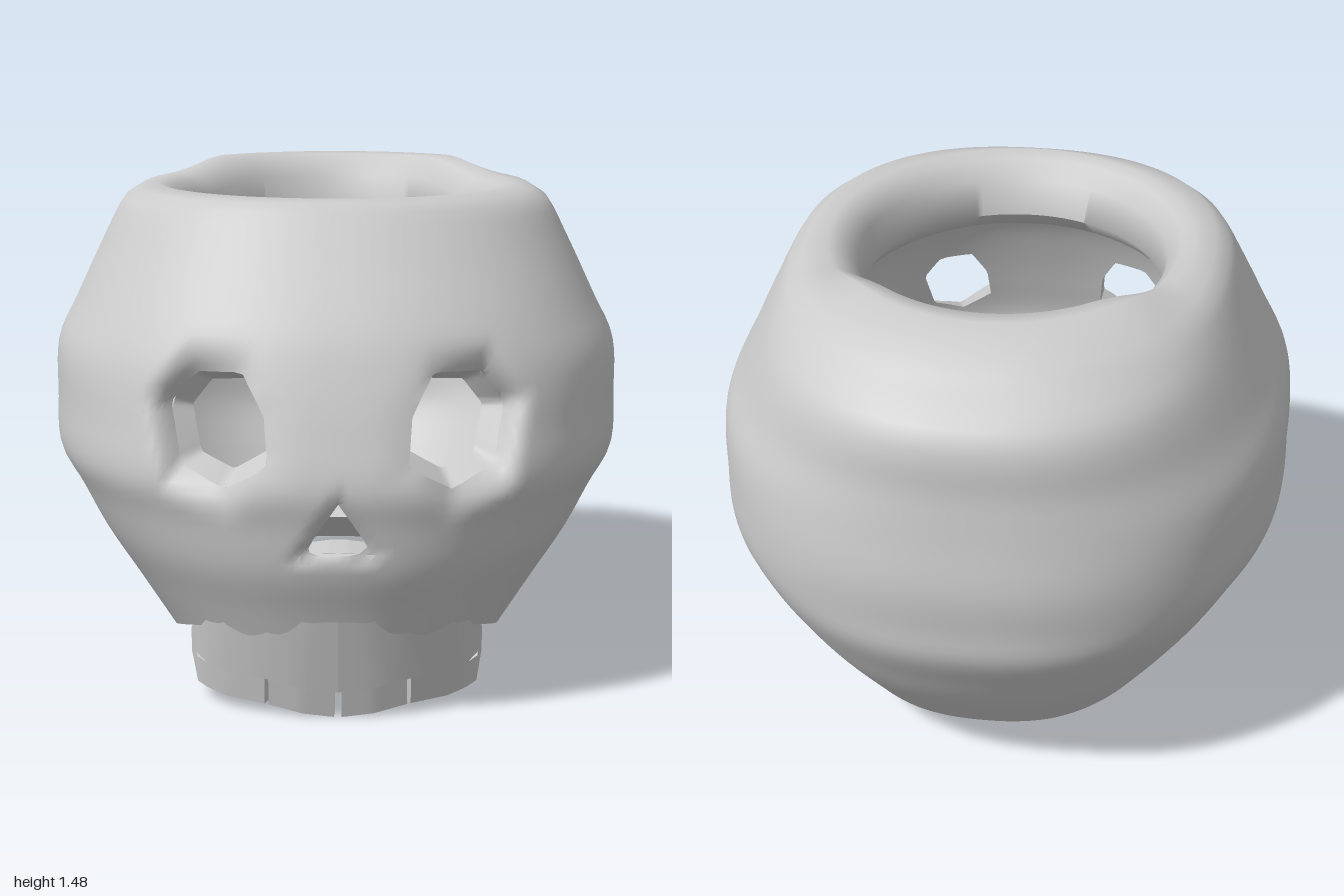
import * as THREE from 'three';
import { toCreasedNormals } from 'three/addons/utils/BufferGeometryUtils.js';

const material = new THREE.MeshStandardMaterial({ color: 0xcccccc });
const POWER = 2.35, WALL = 0.13, SEGMENTS = 240, ROWS = 46;

// Interpolates rows [key, value, value...], straight or as a smooth curve
function lookup(table, key, smooth = false) {
  const last = table.length - 1;
  if (key <= table[0][0]) return table[0].slice(1);
  if (key >= table[last][0]) return table[last].slice(1);
  const i = table.findIndex((row) => key <= row[0]);
  const a = table[i - 1], b = table[i], span = b[0] - a[0], t = (key - a[0]) / span;
  if (!smooth) return a.slice(1).map((v, k) => v + (b[k + 1] - v) * t);
  const before = table[Math.max(i - 2, 0)], after = table[Math.min(i + 1, last)];
  return a.slice(1).map((v, n) => {
    const k = n + 1, d = b[k] - v;
    const m0 = (b[k] - before[k]) / (b[0] - before[0]) * span;
    const m1 = (after[k] - v) / (after[0] - a[0]) * span;
    return v + t * (m0 + t * (3 * d - 2 * m0 - m1 + t * (m0 + m1 - 2 * d)));
  });
}

// Head outline by height: y, half width, front z, back z
const SECTIONS = [
  [0.13, 0.51, 0.84, -0.68], [0.32, 0.635, 0.91, -0.83], [0.45, 0.72, 0.96, -0.91],
  [0.58, 0.79, 0.98, -0.98], [0.68, 0.845, 0.995, -0.99], [0.82, 0.85, 0.96, -1.0],
  [0.98, 0.845, 0.905, -0.98], [1.1, 0.79, 0.85, -0.965], [1.29, 0.70, 0.72, -0.94],
  [1.4, 0.64, 0.64, -0.80], [1.425, 0.60, 0.62, -0.77],
];
const section = (y) => lookup(SECTIONS, y, true);
// Height of the lower edge by z
const RIM = [[-0.68, 0.13], [-0.08, 0.27], [0.02, 0.17], [0.37, 0.13], [0.7, 0.24], [0.9, 0.24]];
// Lip around the top opening: half width, front z, back z, front y, back y
const LIP = [
  [0.54, 0.59, -0.64, 1.435, 1.48], [0.5, 0.55, -0.58, 1.42, 1.475],
  [0.46, 0.49, -0.53, 1.37, 1.41], [0.445, 0.47, -0.51, 1.26, 1.28], [0.5, 0.55, -0.6, 1.19, 1.21],
];
// Thick lower edge turning in and up to the bottom opening: half width, front z, back z, rise
const FLOOR = [[0.4, 0.64, -0.58, 0.16], [0.36, 0.6, -0.52, 0.11]];

function ring([w, front, back], angle, power) {
  const s = Math.sin(angle), c = Math.cos(angle), depth = c > 0 ? front : -back;
  const r = (Math.abs(s / w) ** power + Math.abs(c / depth) ** power) ** (-1 / power);
  return [r * s, r * c];
}
function frontZ(x, y, inset) {
  const [w, front] = section(y);
  return (front - inset) * Math.max(0, 1 - Math.abs(x / (w - inset)) ** POWER) ** (1 / POWER);
}

// Face openings: centre, outline about it, dent depth, outer side, shift of the inner outline
const eye = [[-0.14, -0.09], [-0.13, 0.04], [-0.07, 0.15], [0.06, 0.14], [0.13, 0.05], [0.1, -0.11], [-0.02, -0.16]];
const nose = [[0, 0.1], [0.1, -0.05], [0.03, -0.04], [-0.03, -0.04], [-0.1, -0.05]];
const HOLES = [
  { name: 'leftEyeSocket', x: 0.33, y: 0.84, outline: eye, dent: 0.09, side: 1, shift: -0.03 },
  { name: 'rightEyeSocket', x: -0.33, y: 0.84, outline: eye.map(([x, y]) => [-x, y]).reverse(), dent: 0.09, side: -1, shift: 0.03 },
  { name: 'noseHole', x: 0, y: 0.55, outline: nose, dent: 0.04, side: 0, shift: 0 },
];
// Sockets sink on their outer side and stay level beside the nose
const dentAt = (hole, x) => hole.dent * THREE.MathUtils.clamp(0.5 + 4 * hole.side * (x - hole.x), 0.1, 1);

// Distance from the centre to the outline along a direction
function reach(outline, dx, dy) {
  const l = Math.hypot(dx, dy) || 1, ux = (dx || 1e-9) / l, uy = dy / l;
  let best = 0;
  outline.forEach(([ax, ay], i) => {
    const [bx, by] = outline[(i + 1) % outline.length], ex = bx - ax, ey = by - ay;
    const d = ux * ey - uy * ex;
    if (Math.abs(d) < 1e-9) return;
    const r = (ax * ey - ay * ex) / d, t = (ax * uy - ay * ux) / d;
    if (r > 0 && t >= -1e-6 && t <= 1 + 1e-6) best = Math.max(best, r);
  });
  return best;
}

// Push a face point out to the edge of an opening and sink the skin around it
function carve(p, inner) {
  if (p[2] < 0.2) return -1;
  for (let h = 0; h < HOLES.length; h++) {
    const hole = HOLES[h], scale = inner ? 0.78 : 1;
    const cx = hole.x + (inner ? hole.shift : 0);
    const dx = p[0] - cx, dy = p[1] - hole.y;
    const d = Math.hypot(dx, dy);
    if (d > 0.4) continue;
    const edge = reach(hole.outline, dx, dy) * scale, s = d / edge;
    if (s < 1) {
      const k = edge / Math.max(d, 1e-6);
      p[0] = cx + dx * k;
      p[1] = hole.y + dy * k;
      p[2] = frontZ(p[0], p[1], inner ? WALL : 0) - (inner ? 0 : dentAt(hole, p[0]));
      return h;
    }
    if (!inner && s < 1.7) p[2] -= dentAt(hole, p[0]) * ((1.7 - s) / 0.7) ** 2;
  }
  return -1;
}

function geometryFrom(points, index, crease) {
  const g = new THREE.BufferGeometry();
  g.setAttribute('position', new THREE.Float32BufferAttribute(points.flat(), 3));
  g.setIndex(index);
  return toCreasedNormals(g, crease);
}

// Hollow head: outer skin, lip, inner skin and floor as one closed loop swept around y
function headGeometry() {
  const points = [], flags = [], index = [];
  const count = ROWS * 2 + LIP.length + FLOOR.length;
  for (let i = 0; i < SEGMENTS; i++) {
    const angle = (i / SEGMENTS) * Math.PI * 2;
    const rim = lookup(RIM, ring(section(0.18), angle, POWER)[1])[0];
    const plain = (x, y, z) => {
      points.push([x, y, z]);
      flags.push(-1);
    };
    const skin = (y, inset) => {
      const [w, f, b] = section(y);
      const [x, z] = ring([w - inset, f - inset, b + inset], angle, POWER);
      const p = [x, y, z];
      flags.push(carve(p, inset > 0));
      points.push(p);
    };
    for (let k = 0; k < ROWS; k++) skin(rim + (1.425 - rim) * k / (ROWS - 1), 0);
    for (const [w, f, b, yf, yb] of LIP) {
      const [x, z] = ring([w, f, b], angle, 2);
      plain(x, THREE.MathUtils.lerp(yb, yf, THREE.MathUtils.smoothstep(z, -0.48, -0.25)), z);
    }
    for (let k = 0; k < ROWS; k++) skin(1.16 + (rim + 0.2 - 1.16) * k / (ROWS - 1), WALL);
    for (const [w, f, b, rise] of FLOOR) {
      const [x, z] = ring([w, f, b], angle, POWER);
      plain(x, rim + rise, z);
    }
  }
  const face = (a, b, c) => {
    if (flags[a] < 0 || flags[a] !== flags[b] || flags[b] !== flags[c]) index.push(a, b, c);
  };
  for (let i = 0; i < SEGMENTS; i++) for (let k = 0; k < count; k++) {
    const n = ((i + 1) % SEGMENTS) * count, m = i * count, up = (k + 1) % count;
    face(m + k, n + k, n + up);
    face(m + k, n + up, m + up);
  }
  return geometryFrom(points, index, 1.0);
}

// Wall of an opening, from the outer skin to the inner skin
function tunnelGeometry(hole) {
  const points = [], index = [], n = 64;
  for (let i = 0; i < n; i++) {
    const a = (i / n) * Math.PI * 2, c = Math.cos(a), s = Math.sin(a), r = reach(hole.outline, c, s);
    const x = hole.x + r * c, y = hole.y + r * s;
    const ix = hole.x + hole.shift + r * c * 0.78, iy = hole.y + r * s * 0.78;
    points.push([x, y, frontZ(x, y, 0) - dentAt(hole, x)], [ix, iy, frontZ(ix, iy, WALL)]);
    const p = i * 2, q = ((i + 1) % n) * 2;
    index.push(p, q, q + 1, p, q + 1, p + 1);
  }
  return geometryFrom(points, index, 0.9);
}

// Jaw arch by position along it: outer x, outer z, inner x, inner z, tooth bottom y, gum top y
const ARCH = [
  [0, 0, 0.83, 0, 0.74, 0.0, 0.3], [0.2, 0.1, 0.825, 0.09, 0.735, 0.01, 0.3],
  [0.4, 0.2, 0.80, 0.17, 0.71, 0.03, 0.3], [0.6, 0.32, 0.74, 0.26, 0.66, 0.035, 0.29],
  [0.75, 0.40, 0.67, 0.32, 0.61, 0.05, 0.26], [1, 0.43, 0.47, 0.34, 0.46, 0.08, 0.16],
];
function archGeometry(from, to, side, gum) {
  const points = [], index = [], n = 10;
  for (let i = 0; i <= n; i++) {
    const [ox, oz, ix, iz, low, high] = lookup(ARCH, from + (to - from) * i / n);
    const bottom = gum ? low + 0.08 : low, top = gum ? high : low + 0.08;
    const lean = (y) => (y - low) * 0.25;
    points.push(
      [side * ox, top, oz + lean(top)], [side * ox, bottom, oz + lean(bottom)],
      [side * ix, bottom, iz], [side * ix, top, iz]);
  }
  const tri = (a, b, c) => index.push(...(side > 0 ? [a, b, c] : [a, c, b]));
  for (let i = 0; i < n; i++) for (let k = 0; k < 4; k++) {
    const a = i * 4 + k, b = i * 4 + (k + 1) % 4;
    tri(a, b, b + 4);
    tri(a, b + 4, a + 4);
  }
  tri(0, 3, 2); tri(0, 2, 1);
  const e = n * 4;
  tri(e, e + 1, e + 2); tri(e, e + 2, e + 3);
  return geometryFrom(points, index, 0.6);
}

export function createModel() {
  const group = new THREE.Group();
  const add = (name, geometry) => {
    const mesh = new THREE.Mesh(geometry, material);
    mesh.name = name;
    group.add(mesh);
  };
  add('hollowHead', headGeometry());
  for (const hole of HOLES) add(hole.name, tunnelGeometry(hole));
  // Upper jaw and teeth, mirrored
  for (const side of [1, -1]) {
    const label = side > 0 ? 'left' : 'right';
    add(label + 'UpperJaw', archGeometry(0, 1, side, true));
    add(label + 'FrontTooth', archGeometry(0.02, 0.39, side, false));
    add(label + 'BackTooth', archGeometry(0.41, 1, side, false));
  }
  return group;
}
